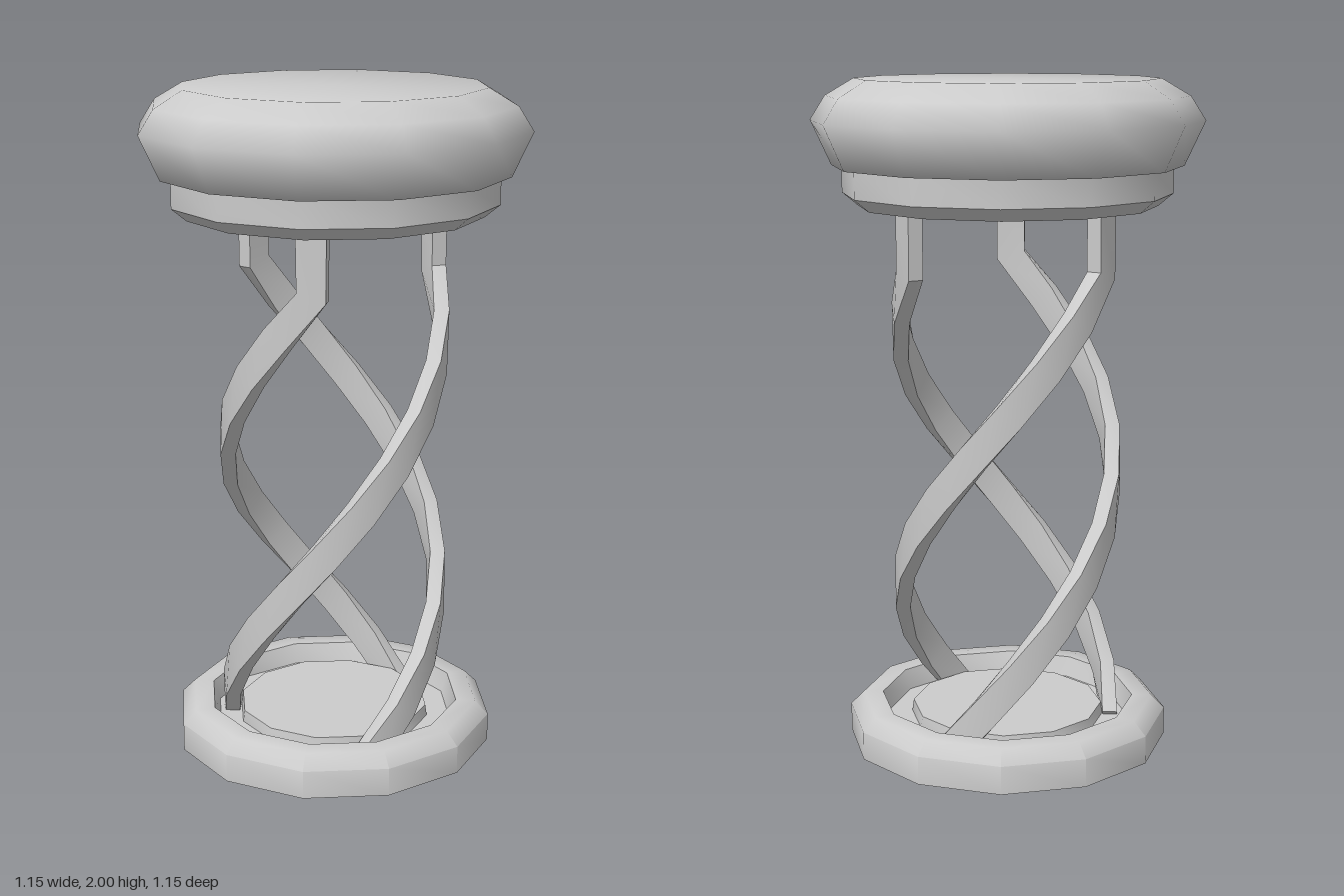
import * as THREE from 'three';
import { toCreasedNormals } from 'three/addons/utils/BufferGeometryUtils.js';

const SIDES = 12;
const rad = THREE.MathUtils.degToRad;

// Twelve-sided turned part from a [radius, height] profile, bottom to top
function turned(name, profile, creaseDeg, side = THREE.FrontSide) {
  const points = profile.map(([r, y]) => new THREE.Vector2(r, y));
  const geometry = toCreasedNormals(new THREE.LatheGeometry(points, SIDES), rad(creaseDeg));
  const mesh = new THREE.Mesh(geometry, new THREE.MeshStandardMaterial({ color: 0xcccccc, side }));
  mesh.name = name;
  return mesh;
}

// Flat bar that winds around the axis, then runs straight up into the seat
function legGeometry() {
  const radius = 0.317, thick = 0.045, width = 0.088;
  const yStart = 0.05, yBend = 1.45, yTop = 1.66, steps = 11;
  const a0 = 149, a1 = -60;
  const rings = [];
  for (let i = 0; i <= steps; i++) {
    const t = i / steps;
    rings.push({ y: yStart + (yBend - yStart) * t, a: rad(a0 + (a1 - a0) * t), tilt: i === steps ? 0.45 : 1 });
  }
  rings.push({ y: yTop, a: rad(a1), tilt: 0 });

  const slope = (yBend - yStart) / (radius * rad(a0 - a1));
  const positions = [];
  for (const { y, a, tilt } of rings) {
    const out = new THREE.Vector3(Math.cos(a), 0, Math.sin(a));
    const pitch = tilt * (Math.PI / 2 - Math.atan(slope));
    // Across the bar, square to its direction of travel
    const across = new THREE.Vector3(
      Math.sin(a) * Math.cos(pitch), -Math.sin(pitch), -Math.cos(a) * Math.cos(pitch));
    for (const [u, v] of [[-1, -1], [1, -1], [1, 1], [-1, 1]]) {
      const p = out.clone().multiplyScalar(radius + u * thick / 2).addScaledVector(across, v * width / 2);
      positions.push(p.x, p.y + y, p.z);
    }
  }

  const index = [];
  for (let i = 0; i < rings.length - 1; i++) {
    for (let k = 0; k < 4; k++) {
      const a = i * 4 + k, b = i * 4 + (k + 1) % 4;
      index.push(a, a + 4, b, b, a + 4, b + 4);
    }
  }
  const e = (rings.length - 1) * 4;
  index.push(0, 1, 2, 0, 2, 3, e, e + 2, e + 1, e, e + 3, e + 2);

  const geometry = new THREE.BufferGeometry();
  geometry.setAttribute('position', new THREE.Float32BufferAttribute(positions, 3));
  geometry.setIndex(index);
  return toCreasedNormals(geometry, rad(35));
}

export function createModel() {
  const model = new THREE.Group();
  model.name = 'stool';

  // Padded seat with rounded shoulder
  model.add(turned('cushion', [
    [0, 1.75], [0.515, 1.75], [0.575, 1.88], [0.53, 1.95], [0.445, 2], [0, 2],
  ], 66));

  // Rim below the cushion
  model.add(turned('seatRim', [
    [0, 1.633], [0.44, 1.633], [0.485, 1.67], [0.485, 1.752], [0, 1.752],
  ], 35));

  // Hollow base: outer ring, sunken groove for the legs, raised middle
  model.add(turned('base', [
    [0.485, 0], [0.485, 0.085], [0.445, 0.125], [0.385, 0.125],
    [0.365, 0.065], [0.295, 0.065], [0.29, 0.1], [0, 0.1],
  ], 50, THREE.DoubleSide));

  // Three twisting legs
  const geometry = legGeometry();
  const legs = new THREE.Group();
  legs.name = 'legs';
  for (let i = 0; i < 3; i++) {
    const leg = new THREE.Mesh(geometry,
      new THREE.MeshStandardMaterial({ color: 0xcccccc, side: THREE.DoubleSide }));
    leg.name = `leg${i + 1}`;
    leg.rotation.y = i * Math.PI * 2 / 3;
    legs.add(leg);
  }
  model.add(legs);
  return model;
}
